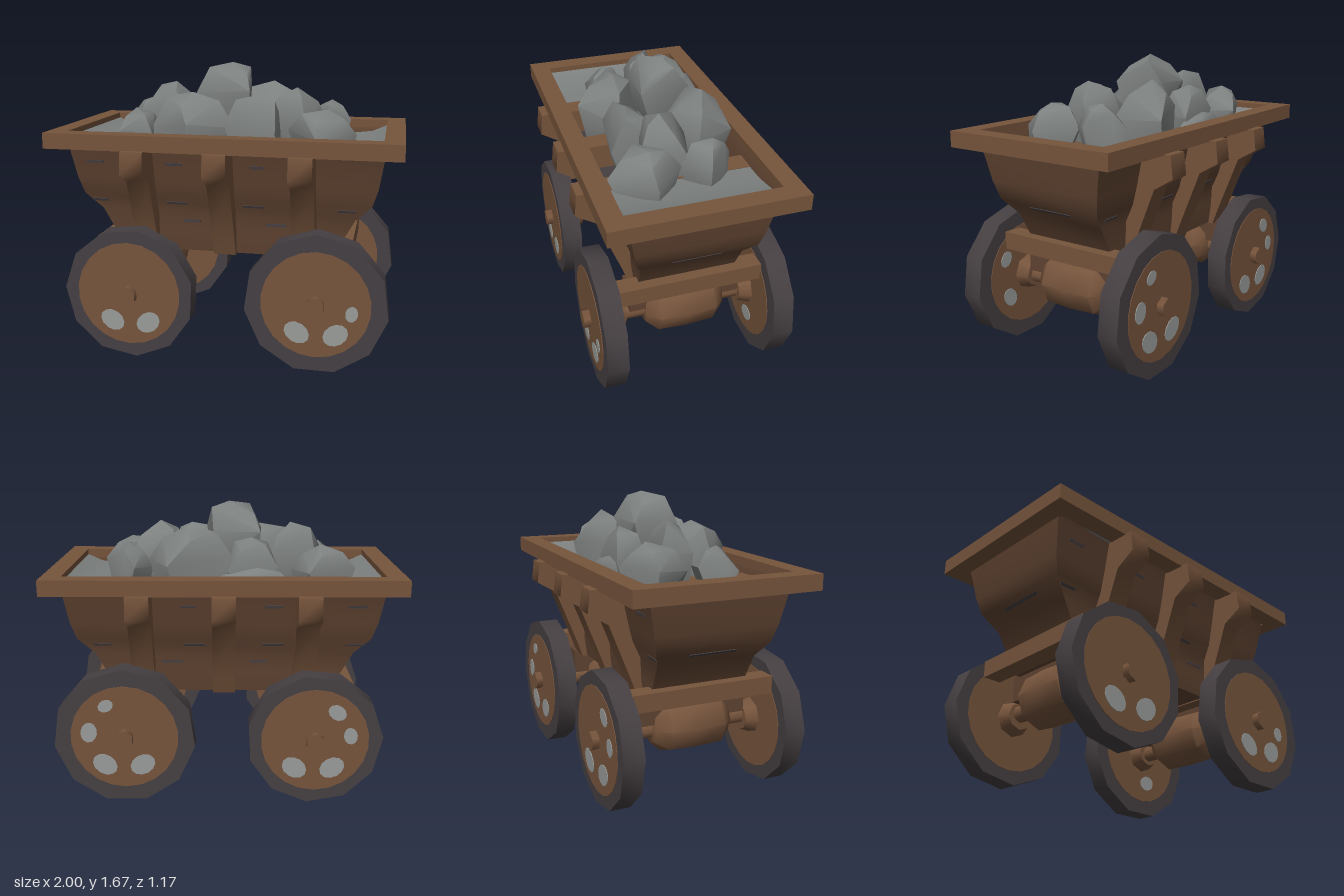
import * as THREE from 'three';
import { toCreasedNormals } from 'three/addons/utils/BufferGeometryUtils.js';
import { ConvexGeometry } from 'three/addons/geometries/ConvexGeometry.js';

const mat = (name, color, side = THREE.FrontSide) =>
  Object.assign(new THREE.MeshStandardMaterial({ color, side }), { name });

export function createModel() {
  const wood = mat('wood', 0x76543c);
  const plank = mat('dark plank', 0x5f4331, THREE.DoubleSide);
  const iron = mat('dark iron', 0x453f42);
  const stone = mat('grey stone', 0x7c807e, THREE.DoubleSide);
  const pale = mat('pale grey', 0x979b98);

  const root = new THREE.Group();
  root.name = 'oreCart';
  const add = (name, geo, material, parent = root, x = 0, y = 0, z = 0) => {
    const m = new THREE.Mesh(geo, material);
    m.name = name;
    m.position.set(x, y, z);
    parent.add(m);
    return m;
  };
  const box = (name, w, h, d, material, x, y, z) =>
    add(name, new THREE.BoxGeometry(w, h, d), material, root, x, y, z);

  // Smooth surface through rows of points
  const grid = (rows) => {
    const n = rows[0].length, idx = [];
    for (let r = 0; r < rows.length - 1; r++)
      for (let c = 0; c < n - 1; c++) {
        const a = r * n + c;
        idx.push(a, a + 1, a + n, a + 1, a + n + 1, a + n);
      }
    const g = new THREE.BufferGeometry();
    g.setAttribute('position', new THREE.Float32BufferAttribute(rows.flat(2), 3));
    g.setIndex(idx);
    g.computeVertexNormals();
    return g;
  };

  // Hopper profile: [height, half length, half width]
  const profile = [
    [0.585, 0.62, 0.27], [0.70, 0.68, 0.285], [0.82, 0.745, 0.29], [0.92, 0.84, 0.335],
    [1.02, 0.87, 0.36], [1.21, 0.90, 0.40], [1.26, 0.905, 0.425],
  ];
  for (const s of [1, -1]) {
    add('hopperSide', grid(profile.map(([y, hx, hz]) => [[-hx * s, y, hz * s], [hx * s, y, hz * s]])), plank);
    add('hopperEnd', grid(profile.map(([y, hx, hz]) => [[hx * s, y, hz * s], [hx * s, y, -hz * s]])), plank);
  }
  box('hopperFloor', 1.24, 0.02, 0.54, plank, 0, 0.597, 0);

  // Load bed: dark in the middle, grey gravel sloping up to both ends
  box('darkBed', 0.9, 0.02, 0.72, iron, 0, 1.06, 0);
  const slope = [[0.53, 1.212], [0.66, 1.214], [0.8, 1.23], [0.895, 1.27]];
  for (const s of [1, -1])
    add('gravel', grid(slope.map(([x, y]) => [[x * s, y, -0.422 * s], [x * s, y, 0.422 * s]])), stone);

  // Rim frame
  const rect = (Type, x, z) => {
    const p = new Type();
    p.moveTo(-x, -z); p.lineTo(x, -z); p.lineTo(x, z); p.lineTo(-x, z); p.closePath();
    return p;
  };
  const rim = rect(THREE.Shape, 1, 0.53);
  rim.holes.push(rect(THREE.Path, 0.89, 0.42));
  add('rim', new THREE.ExtrudeGeometry(rim, { depth: 0.09, bevelEnabled: false }).rotateX(-Math.PI / 2),
    wood, root, 0, 1.21, 0);

  // Rib frames crossing the hopper
  const half = [[0.3, 0.58], [0.34, 0.69], [0.47, 1.02], [0.585, 1.09], [0.57, 1.215]];
  const outline = [...half, ...half.map(([z, y]) => [-z, y]).reverse()];
  const ribShape = new THREE.Shape(outline.map(([z, y]) => new THREE.Vector2(z, y)));
  for (const x of [-0.465, 0, 0.465]) {
    const g = new THREE.ExtrudeGeometry(ribShape, { depth: 0.13, bevelEnabled: false });
    g.translate(0, 0, -0.065).rotateY(Math.PI / 2);
    add('rib', toCreasedNormals(g, 1.2), wood, root, x, 0, 0);
  }

  // Dark cracks between planks, laid on the sloping walls
  const at = (y, k) => {
    const i = Math.max(1, profile.findIndex((p) => p[0] >= y));
    const [a, b] = [profile[i - 1], profile[i]];
    const rise = (b[k] - a[k]) / (b[0] - a[0]);
    return [a[k] + rise * (y - a[0]), Math.atan(rise)];
  };
  for (const s of [1, -1]) {
    for (const [x, y, w] of [[-0.75, 1.12, 0.1], [-0.28, 1.12, 0.1], [0.2, 1.12, 0.08], [-0.75, 0.88, 0.1],
      [-0.28, 0.88, 0.12], [0.17, 0.88, 0.12], [0.7, 0.88, 0.1], [0.3, 0.77, 0.12], [-0.2, 0.77, 0.1]]) {
      const [z, tilt] = at(y, 2);
      box('sideCrack', w, 0.015, 0.008, iron, x, y, s * z).rotation.x = s * tilt;
    }
    const [x, tilt] = at(0.89, 1);
    box('endCrack', 0.008, 0.018, 0.28, iron, s * x, 0.89, 0).rotation.z = -s * tilt;
  }

  // Spots on the wheel faces, as offsets [x, y, radius, face]: 1 outer, -1 inner
  const low = [[-0.1, -0.165, 0.075, 1], [0.115, -0.165, 0.075, 1]];
  const spots = {
    '1,1': [...low, [0.2, -0.035, 0.045, 1], [0.18, 0.12, 0.05, -1], [0.16, -0.12, 0.06, -1]],
    '-1,1': low,
    '1,-1': [...low, [0.1, 0.19, 0.045, 1], [0.2, 0.03, 0.06, 1], [0.05, 0.18, 0.05, -1], [0.05, -0.18, 0.06, -1]],
    '-1,-1': [...low, [-0.12, 0.17, 0.055, 1], [-0.2, 0.03, 0.05, 1]],
  };
  const cyl = (r1, r2, h, n) => new THREE.CylinderGeometry(r1, r2, h, n).rotateX(Math.PI / 2);

  for (const e of [1, -1]) {
    const [x, y, r, turn] = e > 0 ? [0.56, 0.4, 0.402, Math.PI] : [-0.515, 0.383, 0.385, 0.1];
    // Chassis beam, bolster and axle
    box('crossBeam', 0.11, 0.1, 0.85, wood, e * 0.68, 0.635, 0);
    box('bolster', 0.15, 0.15, 0.65, plank, x, 0.52, 0);
    add('axle', cyl(0.05, 0.05, 1.0, 8), wood, root, x, 0.395, 0);
    const barrel = [[0, -0.23], [0.1, -0.23], [0.16, -0.165], [0.168, 0], [0.16, 0.165], [0.1, 0.23], [0, 0.23]];
    const lathe = new THREE.LatheGeometry(barrel.map((p) => new THREE.Vector2(...p)), 8);
    add('axleBarrel', toCreasedNormals(lathe.rotateX(Math.PI / 2), 0.9), wood, root, x, 0.415, 0);

    for (const s of [1, -1]) {
      const wheel = new THREE.Group();
      wheel.name = 'wheel';
      wheel.position.set(x, y, s * 0.48);
      root.add(wheel);
      add('tyre', toCreasedNormals(cyl(r, r, 0.12, 11), 0.8), iron, wheel).rotation.z = turn;
      add('wheelDisc', cyl(0.305, 0.305, 0.128, 22), wood, wheel);
      add('hubNut', cyl(0.055, 0.055, 0.08, 6), wood, wheel, 0, 0, s * 0.065);
      const hub = cyl(s > 0 ? 0.11 : 0.08, s > 0 ? 0.08 : 0.11, 0.08, 8);
      add('innerHub', hub, wood, wheel, 0, 0, -s * 0.095);
      for (const [px, py, size, face] of spots[`${e},${s}`]) {
        const spot = add('wheelSpot', cyl(size, size, 0.006, 12), pale, wheel, px, py, s * face * 0.065);
        spot.rotation.z = Math.atan2(py, px) + Math.PI / 2;
        spot.scale.y = 0.78;
      }
    }
  }

  // Heap of blocky stones: [x0, x1, z0, z1, y0, y1]
  let seed = 11;
  const rnd = () => (seed = (seed * 16807) % 2147483647) / 2147483647;
  const rocks = [
    [-0.73, -0.39, -0.40, -0.06, 1.15, 1.45], [-0.33, 0.01, -0.36, -0.11, 1.12, 1.49],
    [-0.03, 0.43, -0.38, -0.03, 1.1, 1.55], [-0.58, -0.23, -0.20, 0.07, 1.15, 1.55],
    [-0.45, 0.02, 0.0, 0.37, 1.1, 1.51], [-0.28, 0.18, -0.21, 0.11, 1.32, 1.67],
    [-0.03, 0.35, 0.04, 0.34, 1.1, 1.51], [0.18, 0.57, -0.09, 0.20, 1.15, 1.54],
    [0.42, 0.67, -0.28, 0.0, 1.15, 1.45], [0.36, 0.72, 0.02, 0.39, 1.15, 1.43],
    [-0.68, -0.42, 0.02, 0.27, 1.15, 1.41], [-0.4, 0.1, -0.39, -0.27, 1.12, 1.33],
  ];
  for (const [x0, x1, z0, z1, y0, y1] of rocks) {
    const cx = (x0 + x1) / 2, cz = (z0 + z1) / 2, hx = (x1 - x0) / 2, hz = (z1 - z0) / 2, h = y1 - y0;
    const pts = [];
    const spin = rnd() * 1.5;
    // Three uneven four-cornered rings narrowing to a slanted top
    for (const [level, size] of [[0, 0.8], [0.55, 1.08], [0.86, 0.66]])
      for (let i = 0; i < 4; i++) {
        const a = spin + (i + rnd() * 0.4) * Math.PI / 2;
        pts.push(new THREE.Vector3(hx * size * Math.cos(a), h * (level + (rnd() - 0.5) * 0.16), hz * size * Math.sin(a)));
      }
    pts.push(new THREE.Vector3(hx * (rnd() - 0.5) * 0.4, h, hz * (rnd() - 0.5) * 0.4));
    add('rock', toCreasedNormals(new ConvexGeometry(pts), 0.85), stone, root, cx, y0, cz);
  }
  return root;
}
